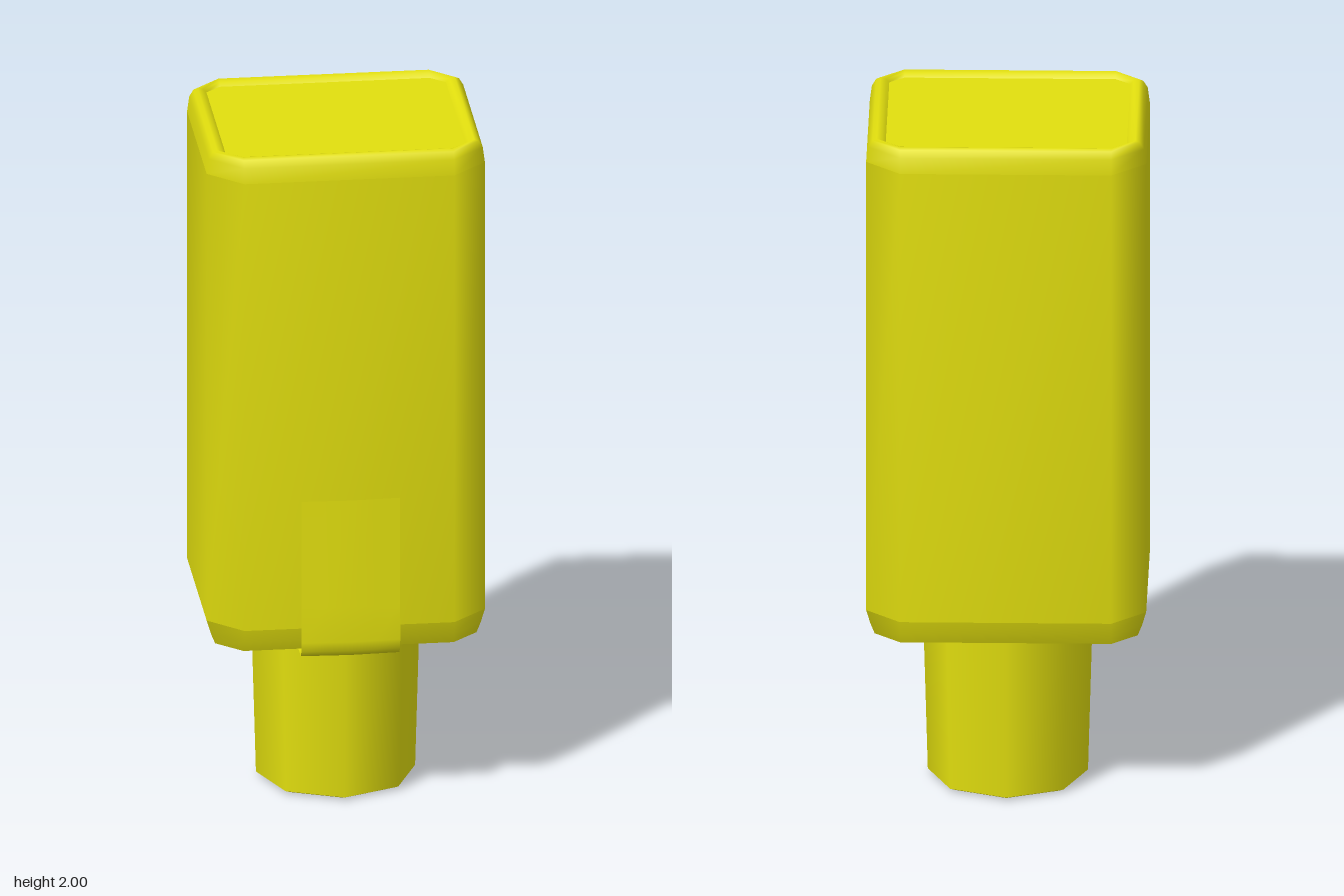
import * as THREE from 'three';

const yellow = new THREE.MeshStandardMaterial({ color: 0xe2df0e });
yellow.name = 'yellow plastic';
yellow.side = THREE.DoubleSide;
const grey = new THREE.MeshStandardMaterial({ color: 0x9c9c9c });
grey.name = 'grey base';

// Surface through cross-sections; rings run upward when closed
function loft(rings, closed = true) {
  const n = rings[0].length, index = [];
  for (let i = 0; i < rings.length - 1; i++) {
    for (let j = 0; j < (closed ? n : n - 1); j++) {
      const a = i * n + j, b = i * n + (j + 1) % n;
      index.push(a, a + n, b, b, a + n, b + n);
    }
  }
  const geo = new THREE.BufferGeometry();
  geo.setAttribute('position', new THREE.Float32BufferAttribute(rings.flat(2), 3));
  geo.setIndex(index);
  geo.computeVertexNormals();
  return geo;
}

// Box outline with cut corners; the flats keep their length as it is inset
function outline(y, inset) {
  const x = 0.395 - inset, front = 0.312 - inset, back = -0.355 + inset;
  return [[x, y, -0.262], [x, y, 0.22], [0.298, y, front], [-0.298, y, front],
    [-x, y, 0.22], [-x, y, -0.262], [-0.298, y, back], [0.298, y, back]];
}

// Flat plate filling an outline, facing up or down
function plate(y, inset, up) {
  const shape = new THREE.Shape(outline(0, inset).map(p => new THREE.Vector2(p[0], up ? -p[2] : p[2])));
  return new THREE.ShapeGeometry(shape).rotateX(up ? -Math.PI / 2 : Math.PI / 2).translate(0, y, 0);
}

export function createModel() {
  const group = new THREE.Group();
  const add = (name, geo, mat = yellow) => {
    const mesh = new THREE.Mesh(geo, mat);
    mesh.name = name;
    group.add(mesh);
    return mesh;
  };

  // Body with a rounded rim around a slightly sunken top
  add('bodyWalls', loft([outline(0.575, 0), outline(1.93, 0)]));
  add('topRim', loft([outline(1.93, 0), outline(1.975, 0.006), outline(1.995, 0.018),
    outline(2, 0.03), outline(1.995, 0.045), outline(1.985, 0.055)]));
  add('topPanel', plate(1.985, 0.055, true));
  add('bottomBevel', loft([outline(0.505, 0.024), outline(0.535, 0.012), outline(0.575, 0)]));
  add('bodyUnderside', plate(0.505, 0.024, false));

  // Tapered eight-sided neck with a shallow grey base
  const zNeck = -0.033;
  add('neck', new THREE.CylinderGeometry(0.24, 0.226, 0.5, 8, 1, true)).position.set(0, 0.26, zNeck);
  add('neckLip', new THREE.CylinderGeometry(0.226, 0.208, 0.008, 8, 1, true)).position.set(0, 0.006, zNeck);
  add('neckBase', new THREE.CircleGeometry(0.21, 8).rotateX(Math.PI / 2), grey).position.set(0, 0.001, zNeck);

  // Thin bowed clip: [y, z] profile from under the body up the front
  const profile = [[0.499, 0.16], [0.497, 0.28], [0.498, 0.335], [0.515, 0.347],
    [0.545, 0.355], [0.65, 0.352], [0.97, 0.345]];
  add('clip', loft(profile.map(([y, z]) =>
    [0.14, 0.07, 0, -0.07, -0.14].map(x => [x, y, z - Math.abs(x) * 0.045])), false));

  return group;
}
